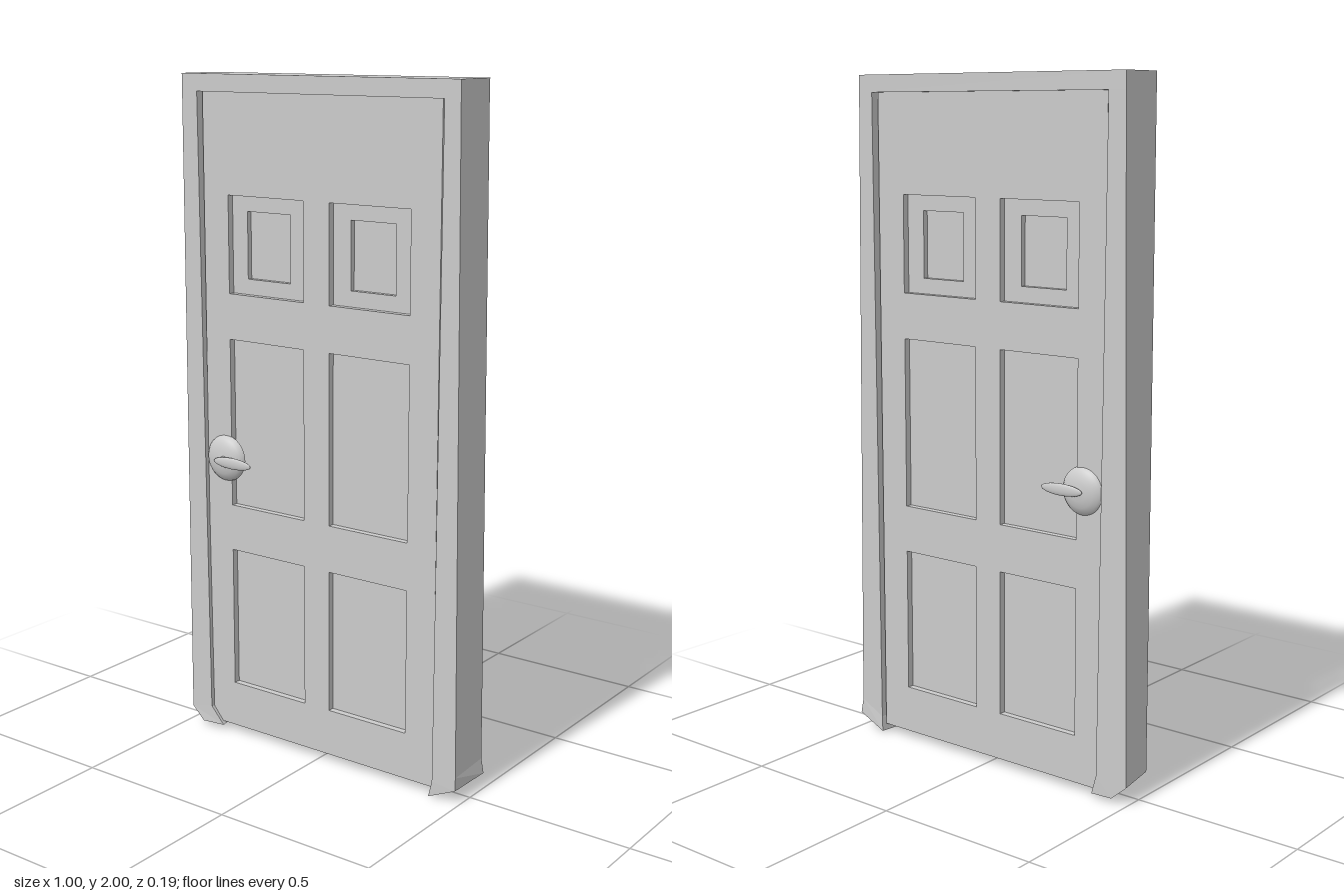
import * as THREE from 'three';

const flat = new THREE.MeshStandardMaterial({ color: 0xcccccc, flatShading: true, side: THREE.DoubleSide });
const smooth = new THREE.MeshStandardMaterial({ color: 0xcccccc });

function add(parent, name, geometry, material, x = 0, y = 0, z = 0) {
  const mesh = new THREE.Mesh(geometry, material);
  mesh.name = name;
  mesh.position.set(x, y, z);
  parent.add(mesh);
  return mesh;
}

// Solid through four-cornered rings, listed top to bottom:
// front left, front right, back right, back left
function loftRings(rings) {
  const index = [];
  for (let r = 0; r < rings.length - 1; r++) {
    for (let i = 0; i < 4; i++) {
      const j = (i + 1) % 4, a = r * 4, b = a + 4;
      index.push(a + i, b + i, b + j, a + i, b + j, a + j);
    }
  }
  const e = (rings.length - 1) * 4;
  index.push(0, 1, 2, 0, 2, 3, e, e + 2, e + 1, e, e + 3, e + 2);
  const geometry = new THREE.BufferGeometry();
  geometry.setAttribute('position', new THREE.Float32BufferAttribute(rings.flat(2), 3));
  geometry.setIndex(index);
  const result = geometry.toNonIndexed();
  result.computeVertexNormals();
  return result;
}

function rectangle(PathType, [x0, x1, y0, y1]) {
  const path = new PathType();
  path.moveTo(x0, y0);
  path.lineTo(x1, y0);
  path.lineTo(x1, y1);
  path.lineTo(x0, y1);
  path.closePath();
  return path;
}

const DOOR = [-0.41, 0.405, 0.025, 1.95];
const MID_Z = -0.005;

// Door-sized board with rectangular openings
function board(depth, openings) {
  const shape = rectangle(THREE.Shape, DOOR);
  shape.holes = openings.map(o => rectangle(THREE.Path, o));
  return new THREE.ExtrudeGeometry(shape, { depth, bevelEnabled: false });
}

function buildFrame() {
  const frame = new THREE.Group();
  frame.name = 'doorFrame';
  add(frame, 'lintel', new THREE.BoxGeometry(0.942, 0.05, 0.14), flat, -0.004, 1.975, MID_Z);
  // Posts flare downwards and end in bent feet
  add(frame, 'rightPost', loftRings([
    [[-0.475, 1.95, 0.065], [-0.42, 1.95, 0.065], [-0.42, 1.95, -0.075], [-0.475, 1.95, -0.075]],
    [[-0.477, 0.055, 0.07], [-0.405, 0.07, 0.065], [-0.405, 0.07, -0.075], [-0.5, 0.055, -0.065]],
    [[-0.435, 0.015, 0.07], [-0.36, 0.017, 0.063], [-0.39, 0.015, -0.075], [-0.455, 0.015, -0.07]],
  ]), flat);
  add(frame, 'leftPost', loftRings([
    [[0.417, 1.95, 0.065], [0.467, 1.95, 0.065], [0.467, 1.95, -0.075], [0.417, 1.95, -0.075]],
    [[0.412, 0.05, 0.065], [0.489, 0.08, 0.063], [0.49, 0.09, -0.075], [0.41, 0.05, -0.075]],
    [[0.4, 0, 0.064], [0.488, 0.04, 0.063], [0.497, 0.045, -0.077], [0.405, 0.005, -0.079]],
  ]), flat);
  return frame;
}

function buildDoor() {
  const door = new THREE.Group();
  door.name = 'door';
  const columns = [[-0.32, -0.05], [0.04, 0.31]];
  const rows = [[0.165, 0.595], [0.735, 1.24], [1.375, 1.66]];
  const panels = columns.flatMap(c => rows.map(r => [...c, ...r]));
  const insets = [[-0.265, -0.11, 1.42, 1.615], [0.1, 0.25, 1.42, 1.615]];
  // Layers step inwards from the face to the panels to the insets
  const core = 0.021, panel = 0.016, face = 0.02;
  add(door, 'core', board(core * 2, []), flat, 0, 0, MID_Z - core);
  add(door, 'frontPanels', board(panel, insets), flat, 0, 0, MID_Z + core);
  add(door, 'backPanels', board(panel, insets), flat, 0, 0, MID_Z - core - panel);
  add(door, 'frontFace', board(face, panels), flat, 0, 0, MID_Z + core + panel);
  add(door, 'backFace', board(face, panels), flat, 0, 0, MID_Z - core - panel - face);
  return door;
}

// Domed rose with a flat lever, facing +z
function buildHandle(name) {
  const handle = new THREE.Group();
  handle.name = name;
  const profile = [[0.07, 0], [0.068, 0.006], [0.06, 0.015], [0.045, 0.023], [0.025, 0.028], [0, 0.03]]
    .map(([r, h]) => new THREE.Vector2(r, h));
  add(handle, 'rose', new THREE.LatheGeometry(profile, 32), smooth).rotation.x = Math.PI / 2;
  add(handle, 'neck', new THREE.CylinderGeometry(0.011, 0.014, 0.02, 16), smooth, 0.01, 0, 0.028)
    .rotation.x = Math.PI / 2;
  const lever = new THREE.SphereGeometry(1, 28, 16);
  lever.scale(0.07, 0.017, 0.006);
  add(handle, 'lever', lever, smooth, 0.05, -0.003, 0.037);
  return handle;
}

export function createModel() {
  const model = new THREE.Group();
  model.name = 'panelledDoor';
  model.add(buildFrame(), buildDoor());

  const front = buildHandle('frontHandle');
  front.position.set(-0.34, 0.878, 0.05);
  // Turned round and over so that its lever also points to the door's middle
  const back = buildHandle('backHandle');
  back.rotation.x = Math.PI;
  back.position.set(-0.34, 0.875, -0.055);
  model.add(front, back);
  return model;
}
